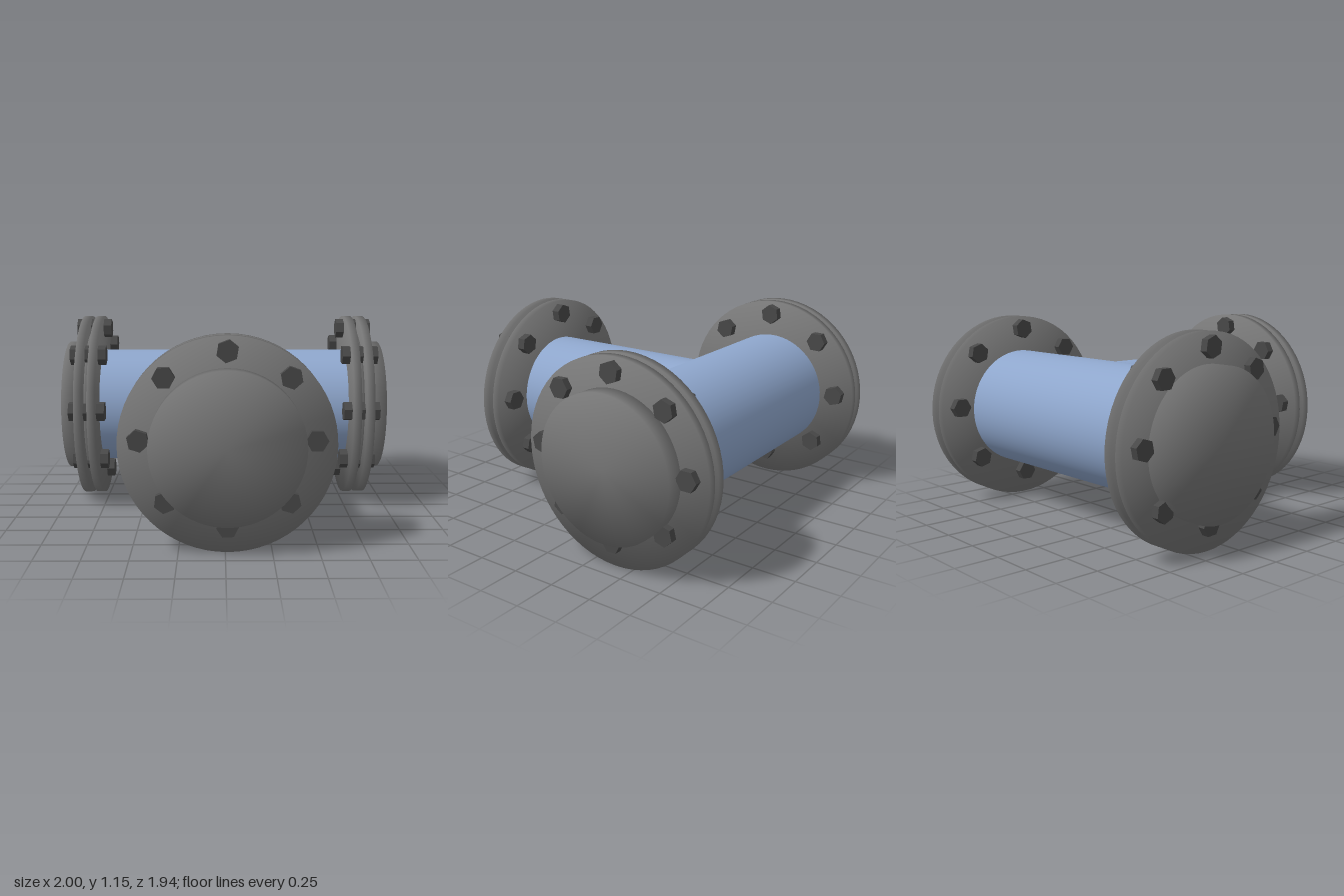
import * as THREE from 'three';
import { mergeVertices } from 'three/addons/utils/BufferGeometryUtils.js';

const pipeBlue = new THREE.MeshStandardMaterial({ color: 0x8ea6cc });
const flangeGrey = new THREE.MeshStandardMaterial({ color: 0x757575 });
const boltGrey = new THREE.MeshStandardMaterial({ color: 0x484848 });
pipeBlue.name = 'pipe blue';
flangeGrey.name = 'flange grey';
boltGrey.name = 'bolt grey';

const AXIS_Y = 0.575; // height of all pipe axes
const MAIN_Z = -0.394; // main pipe sits behind the centre

// Disc along z whose normals roll softly from the face centre over the rim
function softDisc(radius, z0, z1) {
  let g = new THREE.CylinderGeometry(radius, radius, z1 - z0, 64);
  g.deleteAttribute('uv');
  g.deleteAttribute('normal');
  g = mergeVertices(g);
  const p = g.attributes.position;
  const normals = new Float32Array(p.count * 3);
  const n = new THREE.Vector3();
  for (let i = 0; i < p.count; i++) {
    n.set(p.getX(i) / radius, Math.sign(p.getY(i)), p.getZ(i) / radius).normalize();
    n.toArray(normals, i * 3);
  }
  g.setAttribute('normal', new THREE.BufferAttribute(normals, 3));
  return g.rotateX(Math.PI / 2).translate(0, 0, (z0 + z1) / 2);
}

function add(parent, name, geometry, material) {
  const mesh = new THREE.Mesh(geometry, material);
  mesh.name = name;
  parent.add(mesh);
  return mesh;
}

// Bolted joint facing +z; z = 0 is the outer face of the end cap
function flangeJoint(name) {
  const joint = new THREE.Group();
  joint.name = name;
  add(joint, 'innerFlange', softDisc(0.575, -0.227, -0.179), flangeGrey);
  add(joint, 'gasket', softDisc(0.48, -0.181, -0.146), flangeGrey);
  add(joint, 'outerFlange', softDisc(0.575, -0.148, -0.1), flangeGrey);
  add(joint, 'endCap', softDisc(0.409, -0.11, 0), flangeGrey);

  // Ring of hexagonal bolts, set slightly above the flange centre
  const hex = new THREE.CylinderGeometry(0.06, 0.06, 0.217, 6).toNonIndexed();
  hex.computeVertexNormals();
  hex.rotateX(Math.PI / 2);
  for (let i = 0; i < 8; i++) {
    const a = (i * Math.PI) / 4;
    const bolt = add(joint, 'bolt', hex, boltGrey);
    bolt.position.set(0.463 * Math.cos(a), 0.035 + 0.463 * Math.sin(a), -0.167);
    bolt.rotation.z = Math.PI / 2 + a * 0.9;
  }
  return joint;
}

export function createModel() {
  const model = new THREE.Group();
  model.name = 'pipeTee';

  // Main pipe along x
  const main = new THREE.CylinderGeometry(0.357, 0.357, 1.64, 64, 1, true).rotateZ(Math.PI / 2);
  add(model, 'mainPipe', main, pipeBlue).position.set(0, AXIS_Y, MAIN_Z);

  // Branch pipe along z, running into the main pipe
  const branch = new THREE.CylinderGeometry(0.333, 0.333, 1.17, 64, 1, true).rotateX(Math.PI / 2);
  add(model, 'branchPipe', branch, pipeBlue).position.set(0.006, AXIS_Y, MAIN_Z + 0.585);

  // One joint on each open end
  for (const side of [-1, 1]) {
    const joint = flangeJoint(side > 0 ? 'leftJoint' : 'rightJoint');
    joint.position.set(side, AXIS_Y, MAIN_Z);
    joint.rotation.y = (side * Math.PI) / 2;
    model.add(joint);
  }
  const front = flangeJoint('frontJoint');
  front.position.set(0.011, AXIS_Y, 0.969);
  model.add(front);

  return model;
}
